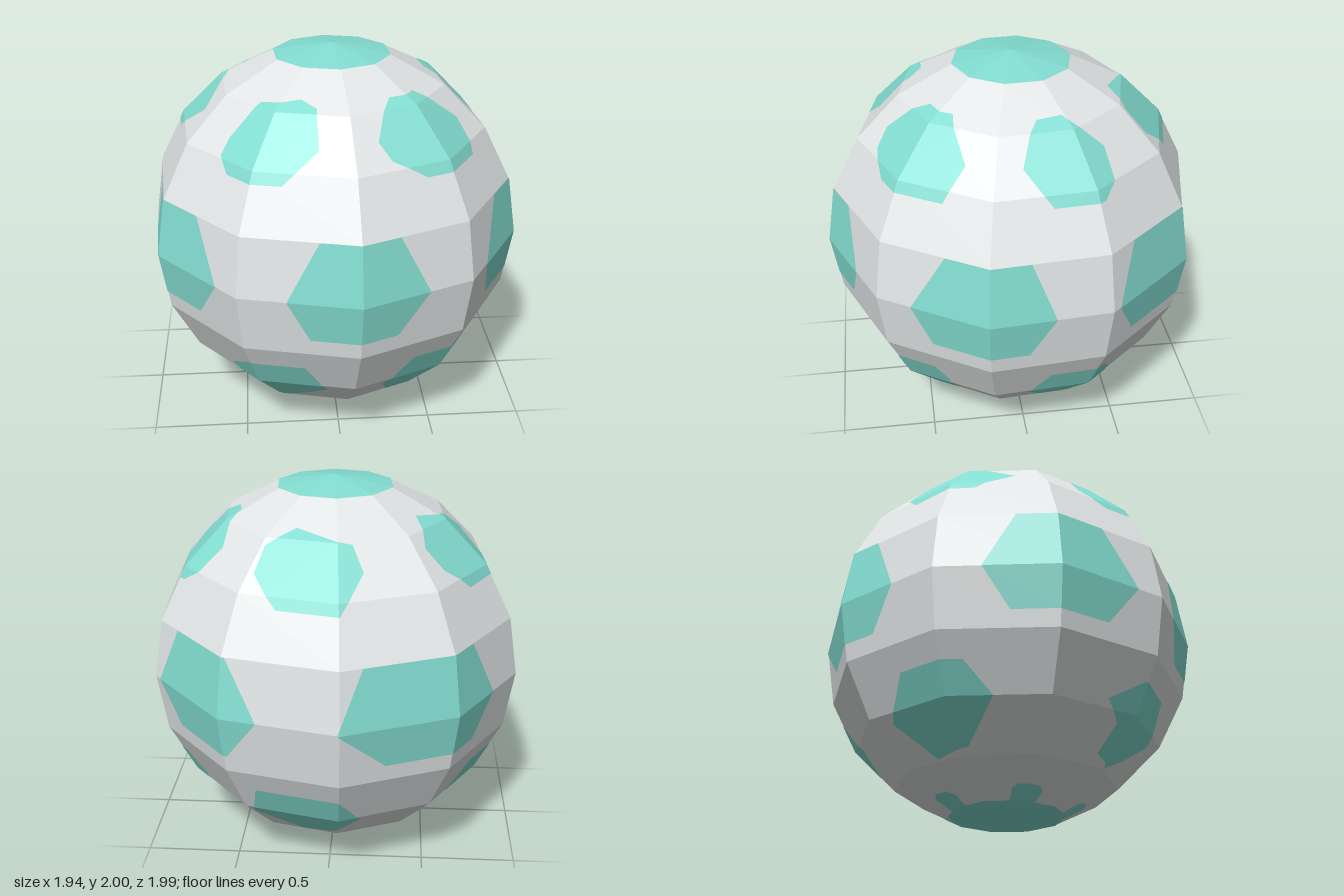
import * as THREE from 'three';

const SIDES = 10, ROWS = 10, TURN = THREE.MathUtils.degToRad(4.5);
const SHELL_RADIUS = 0.997, PATCH_RADIUS = 1;

// Corner of the faceted ball: u counts sides, v counts rows from the top
function corner(u, v) {
  const lon = TURN + (u / SIDES) * Math.PI * 2, lat = (v / ROWS) * Math.PI;
  return new THREE.Vector3(Math.sin(lon) * Math.sin(lat), Math.cos(lat), Math.cos(lon) * Math.sin(lat))
    .multiplyScalar(PATCH_RADIUS);
}

// Point on the flat facet (i, j)
function onFacet(i, j, p) {
  const a = corner(i, j).lerp(corner(i + 1, j), p.x - i);
  const b = corner(i, j + 1).lerp(corner(i + 1, j + 1), p.x - i);
  return a.lerp(b, p.y - j);
}

// Keep the part of a polygon where sign * (axis - limit) >= 0
function clip(poly, axis, limit, sign) {
  const out = [];
  poly.forEach((p, k) => {
    const q = poly[(k + 1) % poly.length];
    const dp = sign * (p[axis] - limit), dq = sign * (q[axis] - limit);
    if (dp >= 0) out.push(p);
    if (dp * dq < 0) out.push(p.clone().lerp(q, dp / (dp - dq)));
  });
  return out;
}

// Lay a (u, v) outline over the facets it crosses
function patchGeometry(outline) {
  const poly = outline.map(([u, v]) => new THREE.Vector2(u, v));
  const box = new THREE.Box2().setFromPoints(poly);
  const pos = [];
  for (let i = Math.floor(box.min.x); i < box.max.x; i++) {
    for (let j = Math.floor(box.min.y); j < box.max.y; j++) {
      let cell = clip(clip(poly, 'x', i, 1), 'x', i + 1, -1);
      cell = clip(clip(cell, 'y', j, 1), 'y', j + 1, -1);
      if (cell.length < 3) continue;
      for (const tri of THREE.ShapeUtils.triangulateShape(cell, [])) {
        const [a, b, c] = tri.map((k) => onFacet(i, j, cell[k]));
        const n = b.clone().sub(a).cross(c.clone().sub(a));
        if (n.length() < 1e-8) continue;
        const order = n.dot(a) > 0 ? [a, b, c] : [a, c, b];
        order.forEach((p) => pos.push(p.x, p.y, p.z));
      }
    }
  }
  const geo = new THREE.BufferGeometry();
  geo.setAttribute('position', new THREE.Float32BufferAttribute(pos, 3));
  geo.computeVertexNormals();
  return geo;
}

// Hexagon patches around the middle
const MIDDLE = [
  [[-0.6, 5], [-0.34, 4], [0.35, 4], [0.6, 5], [0.34, 5.71], [-0.42, 5.71]],
  [[1.31, 5], [1.6, 4], [2.34, 4], [2.54, 5], [2.33, 5.71], [1.47, 5.71]],
  [[3.08, 5], [3.3, 4], [4.03, 4], [4.32, 5], [4.03, 5.71], [3.32, 5.71]],
  [[4.98, 5], [5.2, 4], [6.3, 4], [6.57, 5], [6.33, 5.71], [5.4, 5.71]],
  [[7.38, 5], [7.65, 4], [8.46, 4], [8.75, 5], [8.47, 5.71], [7.6, 5.71]],
];

// Rounded patches on the upper half
const UPPER = [
  [[0.3, 2.5], [0.5, 2], [0.7, 1.75], [1.23, 1.75], [1.65, 2.55], [1.5, 3.2], [0.72, 3.2], [0.4, 2.85]],
  [[2.3, 2.55], [2.42, 2], [2.55, 1.75], [2.95, 1.7], [3.35, 2.45], [3.26, 3], [3.08, 3.2], [2.57, 3.2]],
  [[5.29, 2.54], [5.01, 3.2], [4.4, 3.2], [4.07, 2.64], [4.05, 2.15], [4.36, 1.74], [5.2, 2.05]],
  [[6.18, 2.3], [6.54, 1.7], [7.23, 1.95], [7.68, 2.5], [7.26, 3.15], [6.56, 3.2], [6.28, 2.75]],
  [[8.5, 2.65], [8.66, 1.9], [9.28, 1.7], [9.55, 1.88], [9.62, 2.6], [9.3, 3.2], [8.68, 3.2], [8.52, 2.95]],
];

// Rounded patches on the lower half
const LOWER = [
  [[0.35, 7.2], [0.59, 6.45], [1.39, 6.45], [1.5, 6.85], [1.45, 7.6], [1.26, 7.95], [0.62, 7.95]],
  [[2.35, 7.1], [2.55, 6.45], [3.09, 6.45], [3.3, 6.85], [3.15, 7.75], [2.95, 7.95], [2.59, 7.95]],
  [[4.05, 7.2], [4.2, 6.45], [5, 6.45], [5.25, 7.1], [4.95, 7.8], [4.5, 7.95]],
  [[6.25, 7.2], [6.55, 6.45], [7.2, 6.45], [7.45, 7], [7.1, 7.85], [6.6, 7.95]],
  [[8.62, 6.85], [8.97, 6.45], [9.51, 6.45], [9.72, 7.2], [9.45, 7.65], [9.12, 7.95], [8.82, 7.77], [8.84, 7.2]],
];

export function createModel() {
  const model = new THREE.Group();
  model.name = 'facetedBall';
  const paleGrey = new THREE.MeshStandardMaterial({ color: 0xe1e5e5 });
  paleGrey.name = 'pale grey';
  const turquoise = new THREE.MeshStandardMaterial({ color: 0x83ddd1 });
  turquoise.name = 'turquoise';

  // Ball with flat facets
  const indexed = new THREE.SphereGeometry(SHELL_RADIUS, SIDES, ROWS);
  const shellGeo = indexed.toNonIndexed();
  shellGeo.computeVertexNormals();
  shellGeo.rotateY(TURN - THREE.MathUtils.degToRad(18));
  const shell = new THREE.Mesh(shellGeo, paleGrey);
  shell.name = 'shell';
  model.add(shell);

  const addPatch = (name, outline) => {
    const mesh = new THREE.Mesh(patchGeometry(outline), turquoise);
    mesh.name = name;
    model.add(mesh);
  };
  MIDDLE.forEach((o, k) => addPatch(`middlePatch${k + 1}`, o));
  UPPER.forEach((o, k) => addPatch(`upperPatch${k + 1}`, o));
  LOWER.forEach((o, k) => addPatch(`lowerPatch${k + 1}`, o));

  // Caps at both poles, with small tabs around the bottom one
  addPatch('topCap', [[0, 0], [10, 0], [10, 1], [0, 1]]);
  addPatch('bottomCap', [[0, 9], [10, 9], [10, 10], [0, 10]]);
  for (let k = 0; k < 5; k++) {
    const u = k * 2;
    addPatch(`bottomTab${k + 1}`, [[u - 0.35, 9], [u - 0.32, 8.7], [u - 0.2, 8.62], [u + 0.25, 8.62], [u + 0.37, 8.72], [u + 0.37, 9]]);
  }

  model.position.y = 1;
  const root = new THREE.Group();
  root.name = 'ball';
  root.add(model);
  return root;
}
